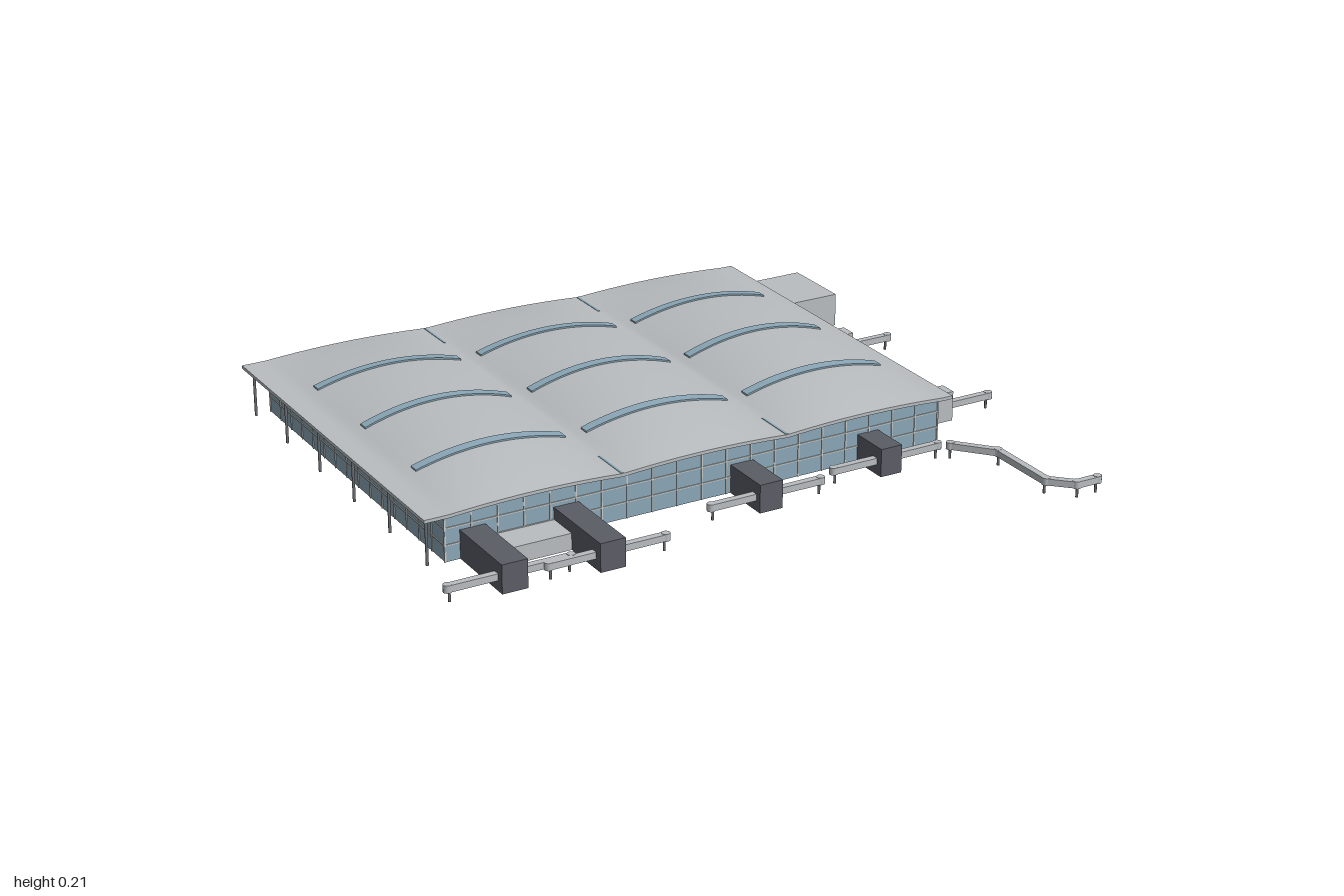
import * as THREE from 'three';

const mat = (name, color, side = THREE.FrontSide) =>
  Object.assign(new THREE.MeshStandardMaterial({ color, side }), { name });

export function createModel() {
  const root = new THREE.Group();
  root.name = 'terminalBuilding';
  const shell = mat('pale grey', 0xb9bdc0);
  const glass = mat('glass blue', 0x8ba7b7, THREE.DoubleSide);
  const dark = mat('dark grey', 0x5b5d66);
  const frame = mat('frame grey', 0xc9cbc8);
  const steel = mat('steel', 0x6c6f74);

  const add = (name, geo, m, parent = root) => {
    const mesh = new THREE.Mesh(geo, m);
    mesh.name = name;
    parent.add(mesh);
    return mesh;
  };
  const group = (name) => {
    const g = new THREE.Group();
    g.name = name;
    root.add(g);
    return g;
  };
  // Box given by its limits on each axis
  const box = (name, x0, x1, y0, y1, z0, z1, m, parent) => {
    const mesh = add(name, new THREE.BoxGeometry(x1 - x0, y1 - y0, z1 - z0), m, parent);
    mesh.position.set((x0 + x1) / 2, (y0 + y1) / 2, (z0 + z1) / 2);
    return mesh;
  };

  // Rise of the three-bay vaulted roof
  const bays = [-0.62, -0.09, 0.44];
  const rise = (x, z) => {
    const arch = Math.max(...bays.map((c) => 1 - ((x - c) / 0.265) ** 2), 0);
    const t = Math.min(1, Math.abs(z + 0.22) / 0.622);
    return arch * (0.01 + 0.043 * (1 - t ** 2.5));
  };
  // Slab bent to follow the roof
  const bentSlab = (name, x0, x1, z0, z1, y0, y1, nx, nz, m, parent) => {
    const geo = new THREE.BoxGeometry(x1 - x0, y1 - y0, z1 - z0, nx, 1, nz);
    geo.translate((x0 + x1) / 2, (y0 + y1) / 2, (z0 + z1) / 2);
    const p = geo.attributes.position;
    for (let i = 0; i < p.count; i++) p.setY(i, p.getY(i) + rise(p.getX(i), p.getZ(i)));
    geo.computeVertexNormals();
    return add(name, geo, m, parent);
  };

  bentSlab('roof', -0.96, 0.74, -0.842, 0.402, 0.14, 0.15, 102, 32, shell);

  // Curved skylights and narrow valley lights
  const skylights = group('skylights');
  for (const c of bays) {
    for (const z of [-0.545, -0.217, 0.112]) {
      bentSlab('skylight', c - 0.232, c + 0.232, z - 0.016, z + 0.016, 0.145, 0.155, 24, 1, glass, skylights);
    }
  }
  for (const x of [-0.358, 0.174]) {
    bentSlab('valleyLight', x - 0.004, x + 0.004, 0.27, 0.4, 0.146, 0.1515, 2, 6, glass, skylights);
    bentSlab('valleyLight', x - 0.004, x + 0.004, -0.84, -0.7, 0.146, 0.1515, 2, 6, glass, skylights);
  }

  // Glazed walls with a grid of mullions
  const walls = group('walls');
  const L = -0.89, R = 0.705, B = -0.805, F = 0.378;
  const wall = (x0, z0, x1, z1, panels) => {
    const lerp = THREE.MathUtils.lerp;
    const geo = new THREE.PlaneGeometry(1, 1, 60, 1);
    const p = geo.attributes.position;
    for (let i = 0; i < p.count; i++) {
      const u = p.getX(i) + 0.5, x = lerp(x0, x1, u), z = lerp(z0, z1, u);
      p.setXYZ(i, x, (p.getY(i) + 0.5) * (0.142 + rise(x, z)), z);
    }
    geo.computeVertexNormals();
    add('glassWall', geo, glass, walls);
    const len = Math.hypot(x1 - x0, z1 - z0);
    const bars = new THREE.Group();
    bars.name = 'mullions';
    bars.position.set((x0 + x1) / 2, 0, (z0 + z1) / 2);
    bars.rotation.y = Math.atan2(z0 - z1, x1 - x0);
    walls.add(bars);
    for (let i = 0; i <= panels; i++) {
      const x = (i / panels - 0.5) * len;
      box('mullion', x - 0.002, x + 0.002, 0, 0.14, 0.0005, 0.003, frame, bars);
    }
    for (const y of [0.05, 0.1]) {
      box('transom', -len / 2, len / 2, y - 0.0018, y + 0.0018, 0.0005, 0.003, frame, bars);
    }
  };
  wall(L, F, R, F, 20);
  wall(R, F, R, B, 15);
  wall(R, B, L, B, 20);
  wall(L, B, L, F, 15);

  // Slim columns below the overhang on the open side
  const post = (name, x, z, h, r, parent) => {
    add(name, new THREE.CylinderGeometry(r, r, h, 8), steel, parent).position.set(x, h / 2, z);
  };
  const columns = group('columns');
  for (let i = 0; i < 6; i++) post('column', -0.94, 0.37 - i * 0.234, 0.142, 0.0045, columns);

  // Annexes with window bands
  const annexes = group('annexes');
  box('sideAnnex', R, 0.957, 0, 0.106, -0.782, -0.553, shell, annexes);
  box('sideAnnexWindow', 0.957, 0.96, 0.04, 0.087, -0.765, -0.565, glass, annexes);
  box('backAnnex', 0.465, 0.637, 0, 0.088, -0.91, B, shell, annexes);
  box('backAnnexWindow', 0.637, 0.64, 0.03, 0.063, -0.9, -0.82, glass, annexes);
  box('frontAnnex', -0.77, -0.56, 0, 0.05, F, 0.48, shell, annexes);

  // Boarding bridges: a run of straight tubes with round joints and legs
  const bridge = (points, legs) => {
    const g = group('boardingBridge');
    points.forEach(([x, z], i) => {
      add('bridgeJoint', new THREE.CylinderGeometry(0.0125, 0.0125, 0.022, 12), shell, g).position.set(x, 0.041, z);
      if (!i) return;
      const [px, pz] = points[i - 1];
      const tube = add('bridgeTube', new THREE.BoxGeometry(Math.hypot(x - px, z - pz), 0.02, 0.021), shell, g);
      tube.position.set((x + px) / 2, 0.041, (z + pz) / 2);
      tube.rotation.y = Math.atan2(pz - z, x - px);
    });
    for (const [x, z] of legs) post('bridgeLeg', x, z, 0.033, 0.004, g);
  };

  // Front gates: x limits, front end, then bridge x limits and z
  const gates = group('frontGates');
  for (const [x0, x1, z1, b0, b1, bz] of [
    [-0.845, -0.768, 0.625, -0.988, -0.622, 0.592],
    [-0.56, -0.483, 0.642, -0.698, -0.34, 0.607],
    [0.002, 0.076, 0.537, -0.138, 0.22, 0.507],
    [0.428, 0.498, 0.502, 0.287, 0.643, 0.47],
  ]) {
    box('frontGate', x0, x1, 0, 0.086, F, z1, dark, gates);
    bridge([[b0, bz], [b1, bz]], [[b0 + 0.005, bz], [b1 - 0.005, bz]]);
  }

  // Side gates
  const sideGates = group('sideGates');
  for (const z of [-0.3, 0.24]) {
    box('sideGate', R, 0.84, 0, 0.093, z - 0.027, z + 0.027, shell, sideGates);
    bridge([[0.84, z], [0.987, z]], [[0.98, z]]);
  }

  // Angled bridge at the front corner
  bridge([[0.675, 0.49], [0.767, 0.597], [0.767, 0.827], [0.828, 0.888], [0.9, 0.888]],
    [[0.675, 0.49], [0.767, 0.6], [0.767, 0.82], [0.83, 0.888], [0.895, 0.888]]);

  return root;
}
